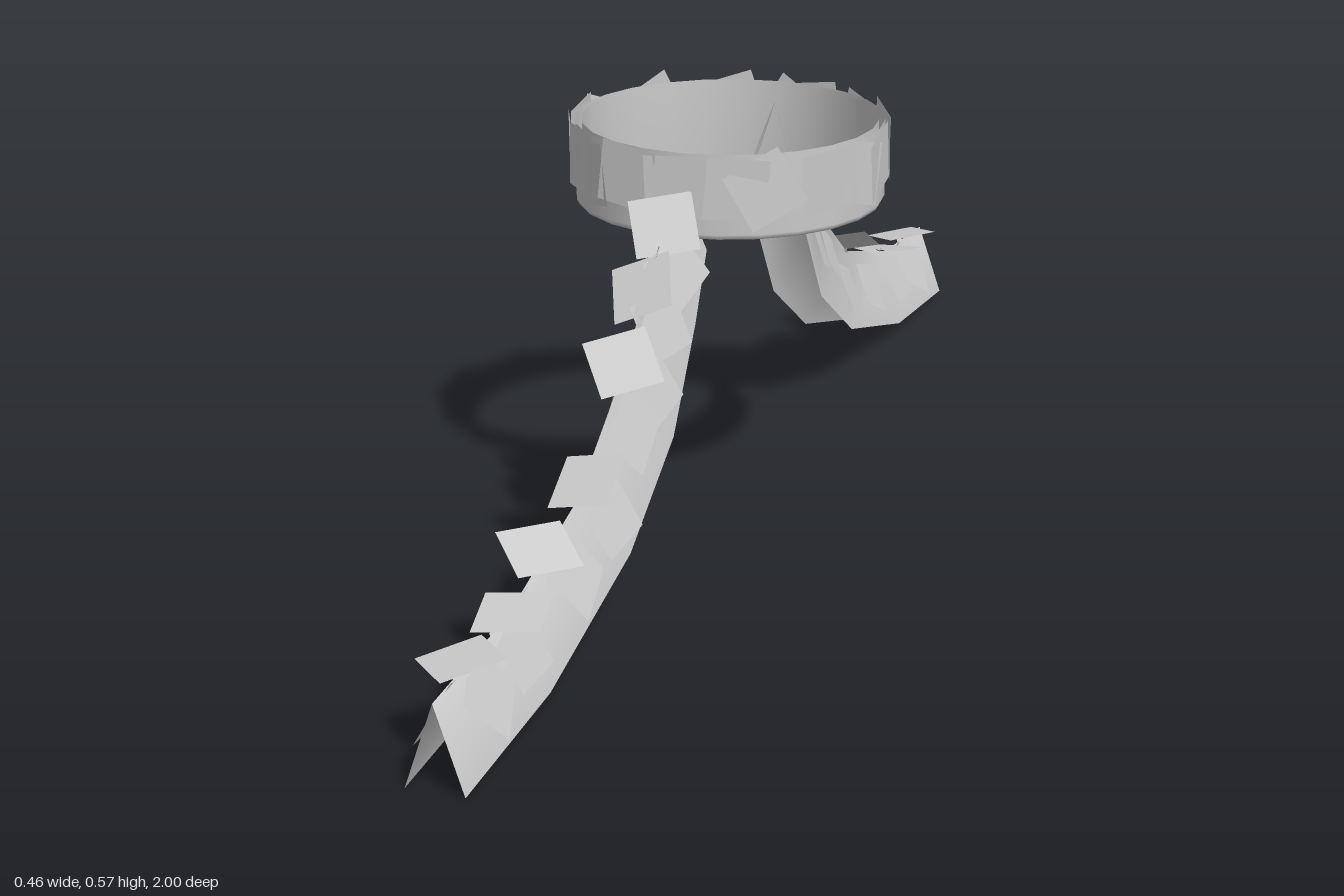
import * as THREE from 'three';

const material = new THREE.MeshStandardMaterial({ color: 0xcccccc, side: THREE.DoubleSide });
const cardGeometry = new THREE.PlaneGeometry(0.085, 0.085);

// Square card at a point, facing along a normal and spun about it
function makeCard(name, point, normal, spin) {
  const card = new THREE.Mesh(cardGeometry, material);
  card.name = name;
  card.position.copy(point).addScaledVector(normal, 0.006);
  card.lookAt(card.position.clone().add(normal));
  card.rotateZ(spin);
  return card;
}

// Open band with a slight chamfer at the bottom and a ring of overlapping cards
function makeRing() {
  const ring = new THREE.Group();
  ring.name = 'ring';
  ring.position.x = 0.004;
  const profile = [[0.206, 0.555], [0.206, 0.44], [0.211, 0.44], [0.215, 0.447], [0.215, 0.555]]
    .map(([r, y]) => new THREE.Vector2(r, y));
  const band = new THREE.Mesh(new THREE.LatheGeometry(profile, 24), material);
  band.name = 'band';
  ring.add(band);
  const spins = [0.06, -0.08, 0.5, 0.1, -0.25, 0.2, -0.45, 0.12, 0.3, -0.15, 0.55, -0.3, 0.15, -0.5, 0.35, -0.1, 0.65, 0.08, 0.2, -0.12];
  spins.forEach((spin, i) => {
    const a = (i + 0.25 * Math.sin(i * 2.3)) / spins.length * Math.PI * 2;
    const lean = a + 0.12 * Math.sin(i * 1.7);
    const normal = new THREE.Vector3(Math.sin(lean), 0.06 * Math.cos(i * 2.9), Math.cos(lean)).normalize();
    const point = new THREE.Vector3(0.216 * Math.sin(a), 0.511 + 0.009 * Math.sin(i * 3.1), 0.216 * Math.cos(a));
    ring.add(makeCard('ringCard', point, normal, spin));
  });
  return ring;
}

// Arm sections from the ring outwards: crest z, crest y, hem z, hem y
const sections = [
  [0.205, 0.525, 0.19, 0.42], [0.30, 0.42, 0.235, 0.33], [0.40, 0.315, 0.32, 0.2],
  [0.57, 0.195, 0.48, 0.097], [0.79, 0.132, 0.75, 0.022], [1, 0.115, 1, 0.003],
];
const crest = sections.map(([z, y]) => new THREE.Vector3(0, y, z));
const hem = sections.map(([, , z, y]) => new THREE.Vector3(0.038, y, z));

function along(points, t) {
  const i = Math.min(Math.floor(t), points.length - 2);
  return points[i].clone().lerp(points[i + 1], t - i);
}

// Tent-shaped arm: two sheets meeting at a crest, open underneath
function makeArm() {
  const arm = new THREE.Group();
  arm.name = 'arm';
  const positions = [], index = [];
  crest.forEach((c, i) => {
    const h = hem[i];
    positions.push(-h.x, h.y, h.z, c.x, c.y, c.z, h.x, h.y, h.z);
    if (i === 0) return;
    for (let k = 0; k < 2; k++) {
      const a = (i - 1) * 3 + k, b = i * 3 + k;
      index.push(a, b, a + 1, a + 1, b, b + 1);
    }
  });
  const geometry = new THREE.BufferGeometry();
  geometry.setAttribute('position', new THREE.Float32BufferAttribute(positions, 3));
  geometry.setIndex(index);
  geometry.computeVertexNormals();
  const cover = new THREE.Mesh(geometry, material);
  cover.name = 'armCover';
  arm.add(cover);

  // Cards: place along the arm, side (-1, 0 crest, 1), drop towards the hem, spin
  const cards = [
    [0.55, 0, 0, 0.2], [1.2, 0, 0, 0.55], [1.95, 0, 0, 0.3], [2.85, 0, 0, 0.4],
    [3.45, 0, 0, 0.05], [3.98, 0, 0, 0.45], [4.55, 0, 0, 0.3],
    [0.9, -1, 0.35, 0.3], [1.8, -1, 0.4, 0.6], [2.4, -1, 0.45, 0.2],
    [3.1, -1, 0.4, 0.75], [3.75, -1, 0.4, 0.1], [4.3, -1, 0.45, 0.5], [4.7, -1, 0.4, 0.2],
    [0.75, 1, 0.4, 0.5], [1.35, 1, 0.35, 0.15], [1.9, 1, 0.45, 0.4], [2.3, 1, 0.35, 0.7],
    [2.9, 1, 0.5, 0.25], [3.4, 1, 0.45, 0.55], [4.05, 1, 0.35, 0.1], [4.5, 1, 0.4, 0.65],
  ];
  for (const [t, side, drop, spin] of cards) {
    const top = along(crest, t), low = along(hem, t);
    const tangent = along(crest, Math.min(t + 0.3, 5)).sub(along(crest, Math.max(t - 0.3, 0))).normalize();
    const up = new THREE.Vector3(0, tangent.z, -tangent.y);
    let normal = up;
    if (side) {
      low.x *= side;
      normal = low.clone().sub(top).cross(tangent).normalize();
      if (normal.x * side < 0) normal.negate();
      normal.addScaledVector(up, 0.2).normalize();
    } else {
      normal.x += 0.25 * Math.sin(t * 4);
      normal.normalize();
    }
    const point = top.lerp(low, drop);
    if (!side) point.x = 0.008 * Math.sin(t * 5);
    arm.add(makeCard(side ? 'flankCard' : 'crestCard', point, normal, spin));
  }
  return arm;
}

export function createModel() {
  const model = new THREE.Group();
  model.name = 'ringWithArms';
  const frontArm = makeArm(), backArm = makeArm();
  frontArm.name = 'frontArm';
  backArm.name = 'backArm';
  backArm.scale.z = -1;
  model.add(makeRing(), frontArm, backArm);
  return model;
}
